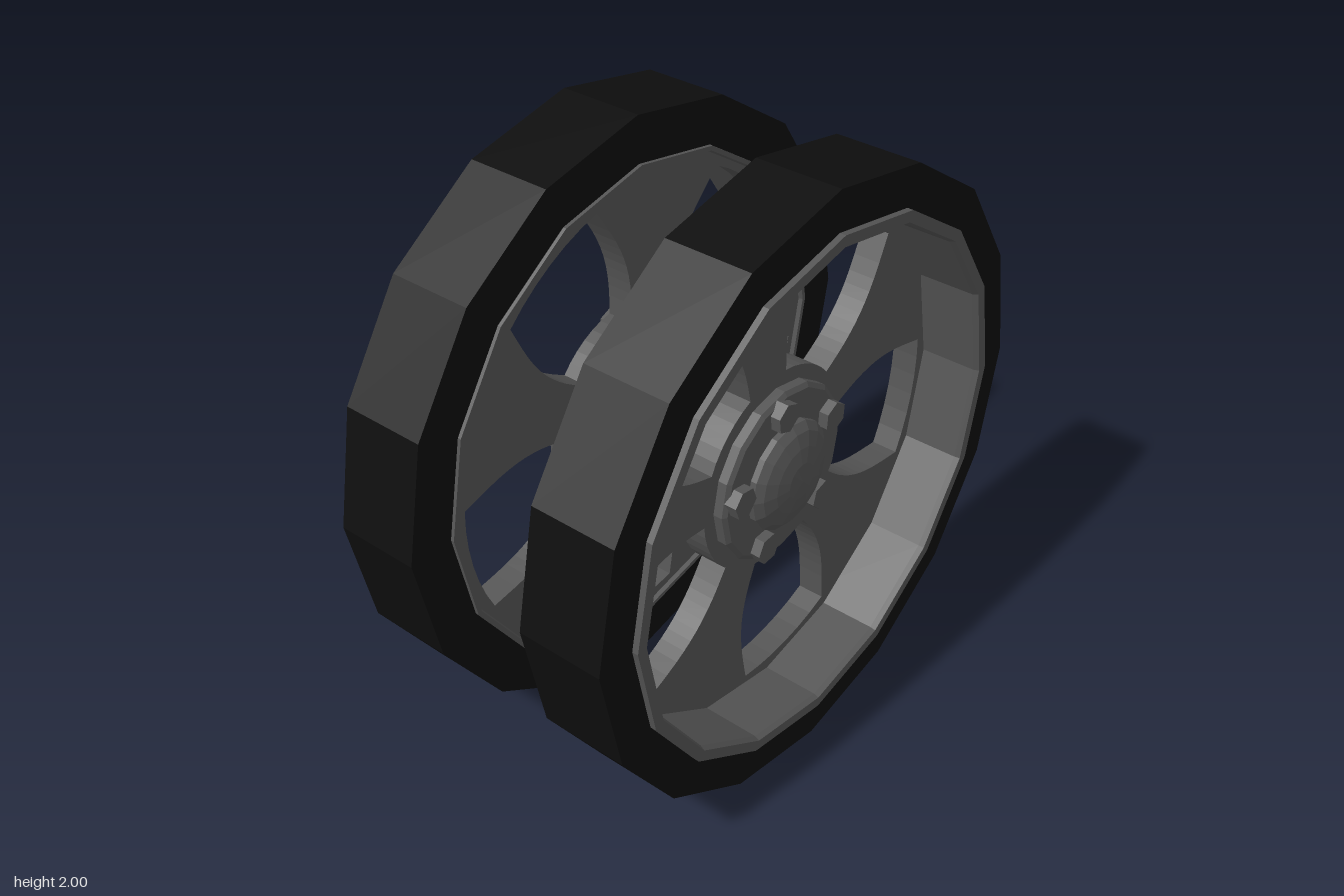
import * as THREE from 'three';

const SIDES = 16;
const metal = new THREE.MeshStandardMaterial({ color: 0x555555, flatShading: true });
const rubber = new THREE.MeshStandardMaterial({ color: 0x0e0e0e, flatShading: true });

// Turned part: profile of [radius, depth] pairs, axis along z
function turned(name, profile, material) {
  const points = profile.map(([r, d]) => new THREE.Vector2(r, d));
  const geometry = new THREE.LatheGeometry(points, SIDES).rotateX(Math.PI / 2);
  const mesh = new THREE.Mesh(geometry, material);
  mesh.name = name;
  return mesh;
}

// Window between two spokes, symmetric about the given angle
function spokeWindow(angle) {
  const side = new THREE.SplineCurve(
    [[0.12, 0.31], [0.17, 0.4], [0.205, 0.5], [0.217, 0.61], [0.21, 0.755]].map(([w, r]) => new THREE.Vector2(w, r))
  ).getPoints(12);
  const mirrored = side.map((p) => new THREE.Vector2(-p.x, p.y));
  const arc = (r, from, to) => Array.from({ length: 5 }, (_, i) => {
    const a = from + ((to - from) * (i + 1)) / 6;
    return new THREE.Vector2(r * Math.sin(a), r * Math.cos(a));
  });
  const outer = Math.atan2(0.21, 0.755);
  const inner = Math.atan2(0.12, 0.31);
  const outline = [
    ...side, ...arc(0.784, outer, -outer),
    ...mirrored.reverse(), ...arc(0.333, -inner, inner),
  ];
  const origin = new THREE.Vector2();
  return new THREE.Path(outline.map((p) => p.rotateAround(origin, angle - Math.PI / 2)));
}

// One wheel, axis along z with the outer face towards +z
function createWheel(name) {
  const wheel = new THREE.Group();
  wheel.name = name;

  wheel.add(turned('tyre', [
    [0.84, 0.207], [0.998, 0.207], [0.998, 0.488], [0.84, 0.488], [0.84, 0.207],
  ], rubber));

  // Deep rim barrel with thin lips on both edges
  wheel.add(turned('rim', [
    [0.83, 0.196], [0.845, 0.196], [0.85, 0.3], [0.868, 0.48], [0.868, 0.508],
    [0.832, 0.508], [0.825, 0.49], [0.825, 0.21], [0.83, 0.196],
  ], metal));

  // Spoke plate close to the inner edge
  const plate = new THREE.Shape(Array.from({ length: SIDES }, (_, i) => {
    const a = (i / SIDES) * Math.PI * 2;
    return new THREE.Vector2(0.835 * Math.cos(a), 0.835 * Math.sin(a));
  }));
  for (let i = 0; i < 5; i++) {
    plate.holes.push(spokeWindow(THREE.MathUtils.degToRad(-83 + 72 * i)));
  }
  const spokes = new THREE.Mesh(
    new THREE.ExtrudeGeometry(plate, { depth: 0.09, bevelEnabled: false }), metal);
  spokes.position.z = 0.21;
  spokes.name = 'spokes';
  wheel.add(spokes);

  // Hub flange and domed cap
  wheel.add(turned('hubFlange', [
    [0.29, 0.29], [0.29, 0.33], [0.275, 0.34], [0, 0.34],
  ], metal));
  wheel.add(turned('hubCap', [
    [0.18, 0.335], [0.18, 0.36], [0.155, 0.38], [0.11, 0.395], [0.06, 0.404], [0, 0.408],
  ], metal));

  // Hexagonal bolts
  for (let i = 0; i < 5; i++) {
    const a = THREE.MathUtils.degToRad(26 + 72 * i);
    const geometry = new THREE.CylinderGeometry(0.05, 0.05, 0.05, 6).rotateX(Math.PI / 2);
    const bolt = new THREE.Mesh(geometry, metal);
    bolt.position.set(0.234 * Math.cos(a), 0.234 * Math.sin(a), 0.348);
    bolt.rotation.z = a + Math.PI / 2;
    bolt.name = 'hubBolt';
    wheel.add(bolt);
  }
  return wheel;
}

export function createModel() {
  const model = new THREE.Group();
  model.name = 'wheelPair';
  const pair = new THREE.Group();
  pair.name = 'wheels';
  const left = createWheel('leftWheel');
  left.rotation.y = Math.PI / 2;
  const right = createWheel('rightWheel');
  right.rotation.y = -Math.PI / 2;
  pair.add(left, right);
  // Slight turn of the pair about the vertical
  pair.rotation.y = 0.0075;
  pair.position.y = 0.998;
  model.add(pair);
  return model;
}
